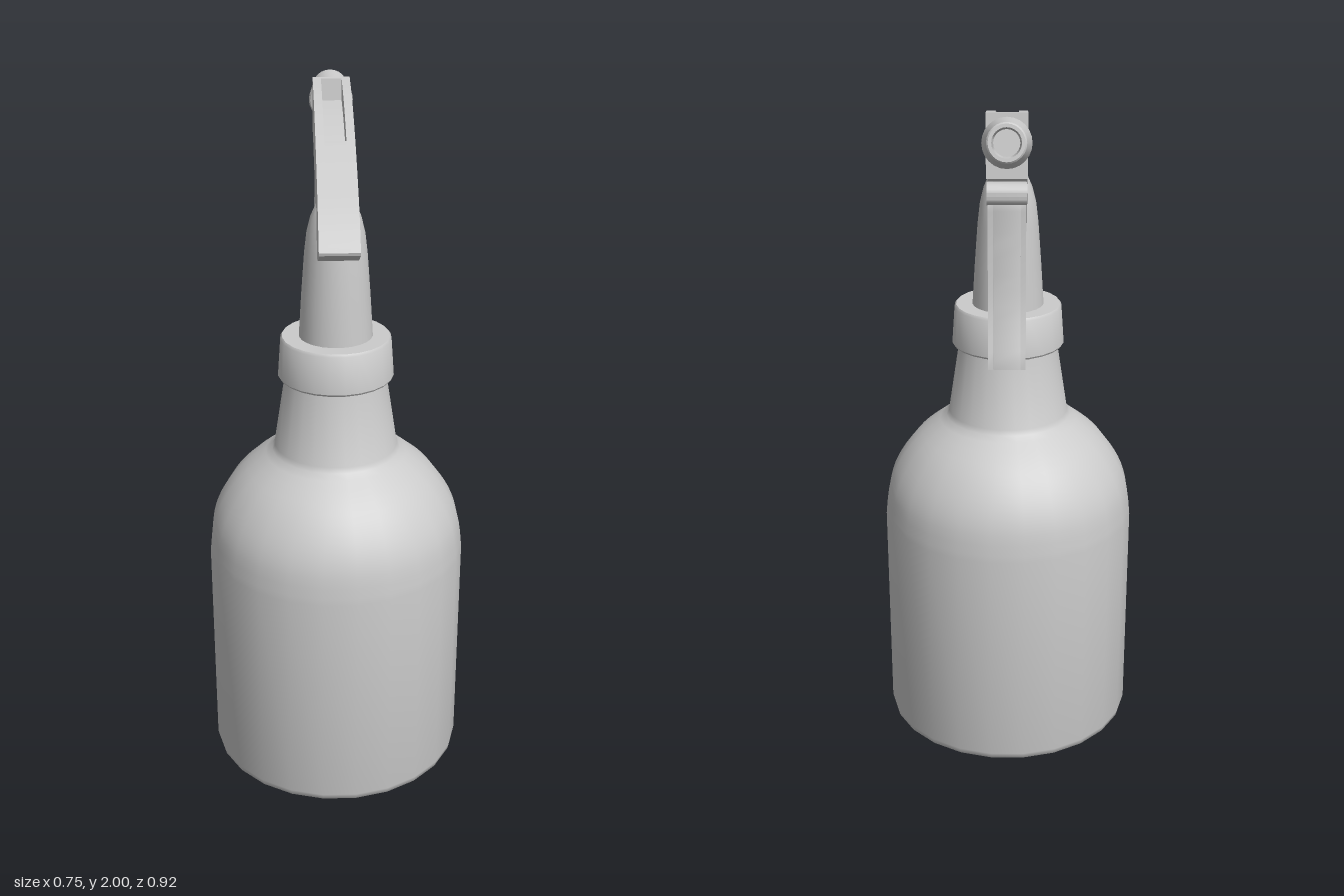
import * as THREE from 'three';
import { toCreasedNormals } from 'three/addons/utils/BufferGeometryUtils.js';

const CENTER_Z = 0.083; // axis of the bottle
const SIDES = 24;
const material = new THREE.MeshStandardMaterial({ color: 0xcccccc });
const vectors = (list) => list.map(([x, y]) => new THREE.Vector2(x, y));
const spline = (list, count) => new THREE.SplineCurve(vectors(list)).getPoints(count);

function addMesh(parent, name, geometry, crease = 0.6) {
  const mesh = new THREE.Mesh(toCreasedNormals(geometry, crease), material);
  mesh.name = name;
  parent.add(mesh);
  return mesh;
}

// Turned part, profile given from bottom to top
function lathe(parent, name, profile, crease) {
  const geometry = new THREE.LatheGeometry(profile, SIDES, Math.PI / SIDES);
  const mesh = addMesh(parent, name, geometry, crease);
  mesh.position.z = CENTER_Z;
  return mesh;
}

// Side outline (forward, up) extruded across x from x0 to x1; forward is -z
function slab(parent, name, points, x0, x1, bevel = 0, hole) {
  const shape = new THREE.Shape(points);
  if (hole) shape.holes.push(new THREE.Path(hole));
  const geometry = new THREE.ExtrudeGeometry(shape, {
    depth: x1 - x0 - 2 * bevel, bevelEnabled: bevel > 0, bevelSize: bevel,
    bevelThickness: bevel, bevelOffset: -bevel, bevelSegments: 2,
  });
  geometry.translate(0, 0, x0 + bevel);
  geometry.rotateY(Math.PI / 2);
  return addMesh(parent, name, geometry);
}

export function createModel() {
  const model = new THREE.Group();
  model.name = 'sprayBottle';

  // Bottle with rounded shoulder and tapering neck
  const shoulder = spline([
    [0.38, 0.69], [0.367, 0.785], [0.333, 0.865], [0.275, 0.94], [0.188, 1.01],
  ], 14);
  lathe(model, 'bottle', [
    ...vectors([[0, 0], [0.365, 0], [0.376, 0.008], [0.38, 0.025]]),
    ...shoulder,
    ...vectors([[0.18, 1.025], [0.145, 1.25], [0, 1.25]]),
  ], 0.75);

  // Screw collar
  lathe(model, 'collar', vectors([
    [0, 1.237], [0.163, 1.237], [0.167, 1.243], [0.159, 1.353], [0.154, 1.36], [0, 1.36],
  ]));

  // Post with a domed top merging into the head
  lathe(model, 'post', vectors([
    [0.106, 1.355], [0.098, 1.48], [0.089, 1.6], [0.082, 1.66],
    [0.071, 1.705], [0.055, 1.742], [0.03, 1.762], [0, 1.768],
  ]));

  // Head: two cheeks around a core whose top is lowered to leave a slot
  const head = new THREE.Group();
  head.name = 'head';
  model.add(head);
  const under = [
    ...vectors([[0.349, 1.835]]),
    ...spline([[0.2, 1.806], [0.16, 1.787], [0.125, 1.738], [0.08, 1.69],
      [0.02, 1.635], [-0.02, 1.617]], 16),
    ...spline([[-0.164, 1.613], [-0.27, 1.642], [-0.386, 1.694]], 6),
  ];
  const top = spline([
    [-0.388, 1.702], [-0.32, 1.762], [-0.243, 1.812], [-0.085, 1.889],
    [0.074, 1.948], [0.206, 1.981], [0.328, 2.0],
  ], 70);
  const slotted = top.map((p) => {
    const inside = p.x > -0.045 && p.x < 0.31;
    const depth = inside ? 0.06 * Math.min(1, (p.x + 0.045) / 0.05) : 0;
    return new THREE.Vector2(p.x, p.y - depth);
  });
  slab(head, 'headCore', [...under, ...slotted], -0.03, 0.03);
  slab(head, 'leftCheek', [...under, ...top], 0.03, 0.054);
  slab(head, 'rightCheek', [...under, ...top], -0.054, -0.03);

  // Nozzle cap with a hollow mouth, tilted slightly upward
  const nozzle = addMesh(model, 'nozzle', new THREE.LatheGeometry(vectors([
    [0, -0.015], [0.045, -0.015], [0.045, 0], [0.061, 0], [0.065, 0.006], [0.051, 0.103],
    [0.047, 0.107], [0.038, 0.107], [0.034, 0.06], [0.012, 0.06], [0.012, 0.085], [0, 0.085],
  ]), SIDES));
  nozzle.position.set(0, 1.927, -0.348);
  nozzle.rotation.x = -Math.PI / 2 + 0.215;

  // Trigger: curved lever with raised rims on both sides
  const trigger = new THREE.Group();
  trigger.name = 'trigger';
  model.add(trigger);
  const lever = [
    ...spline([[0.192, 1.745], [0.193, 1.634], [0.243, 1.5], [0.312, 1.41], [0.4, 1.337]], 16),
    ...vectors([[0.413, 1.337]]),
    ...spline([[0.411, 1.36], [0.376, 1.5], [0.36, 1.66], [0.356, 1.77]], 12),
    ...vectors([[0.335, 1.822], [0.315, 1.82], [0.296, 1.788], [0.26, 1.768]]),
  ];
  const recess = [
    ...spline([[0.212, 1.728], [0.212, 1.64], [0.26, 1.51], [0.324, 1.425], [0.382, 1.375]], 12),
    ...spline([[0.388, 1.385], [0.36, 1.5], [0.342, 1.66], [0.335, 1.745]], 10),
  ].reverse();
  slab(trigger, 'leverWeb', lever, -0.038, 0.038, 0.004);
  for (const [name, x] of [['leftRim', 0.036], ['rightRim', -0.05]]) {
    slab(trigger, name, lever, x, x + 0.014, 0, recess);
  }
  const pivot = addMesh(trigger, 'pivot', new THREE.CylinderGeometry(0.03, 0.03, 0.104, 20));
  pivot.rotation.z = Math.PI / 2;
  pivot.position.set(0, 1.793, -0.338);

  // Plunger rod between head and trigger
  const rod = addMesh(model, 'plunger', new THREE.CylinderGeometry(0.018, 0.018, 0.14, 16));
  rod.position.set(0, 1.733, -0.165);
  rod.rotation.x = -Math.PI / 2 - 0.45;

  return model;
}
